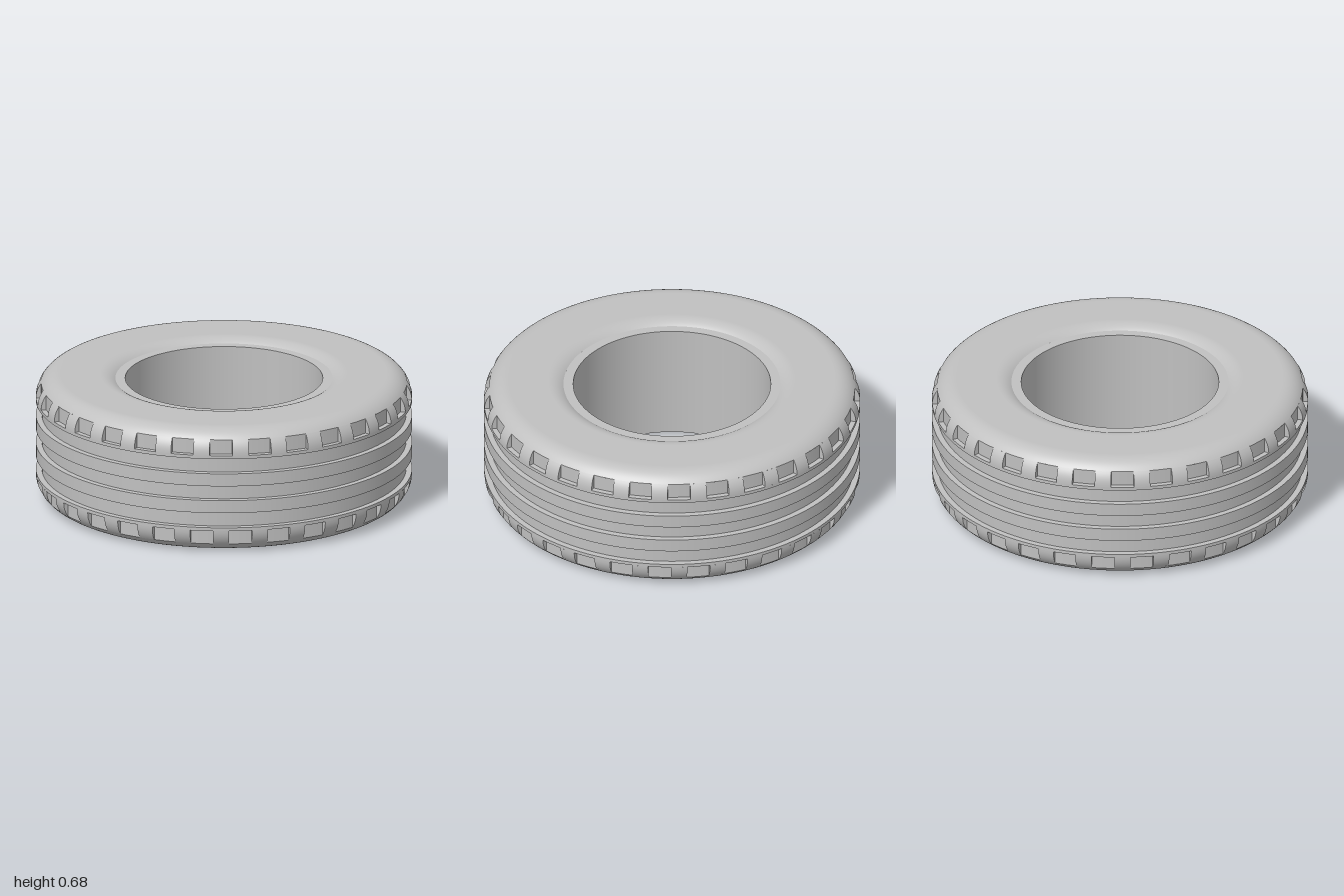
import * as THREE from 'three';
import { mergeGeometries } from 'three/addons/utils/BufferGeometryUtils.js';

const HALF = 0.341;        // half the tyre width
const R = 0.13;            // rounding of shoulder and bead lip
const ARC_Y = HALF - R;    // height where the shoulder starts to round
const GROOVE_R = 0.968, NOTCH_R = 0.972;
const BORE_R = 0.525, BEAD_R = 0.577, BEAD_Y = 0.315;
const NOTCHES = 30, PITCH = Math.PI * 2 / NOTCHES, NOTCH_ANGLE = THREE.MathUtils.degToRad(7);

const v = (x, y) => new THREE.Vector2(x, y);

// Points on a circular arc in the (radius, height) plane
function arc(cx, cy, a0, a1, n) {
  return Array.from({ length: n + 1 }, (_, i) => {
    const a = a0 + (a1 - a0) * i / n;
    return v(cx + R * Math.cos(a), cy + R * Math.sin(a));
  });
}

// Revolve each strip on its own, so the edges between strips stay sharp
function revolve(strips, segments = 180, start = 0, length = Math.PI * 2) {
  return strips.map(s => new THREE.LatheGeometry(s, segments, start, length));
}

const sharp = pts => pts.slice(1).map((p, i) => [pts[i], p]);

export function createModel() {
  const rubber = new THREE.MeshStandardMaterial({ color: 0xc0c0c0, side: THREE.DoubleSide });
  rubber.name = 'grey rubber';
  const tyre = new THREE.Group();
  tyre.name = 'tyre';
  const add = (parent, name, geometries) => {
    const mesh = new THREE.Mesh(mergeGeometries(geometries), rubber);
    mesh.name = name;
    parent.add(mesh);
  };

  // Tread: two ribs between three grooves
  const g = GROOVE_R;
  add(tyre, 'tread', revolve(sharp([
    v(1, -0.1925), v(g, -0.1925), v(g, -0.11), v(1, -0.11), v(1, -0.04), v(g, -0.04),
    v(g, 0.04), v(1, 0.04), v(1, 0.11), v(g, 0.11), v(g, 0.1925), v(1, 0.1925),
  ])));

  // Bore through the middle
  add(tyre, 'bore', revolve([[v(BORE_R, BEAD_Y), v(BORE_R, -BEAD_Y)]]));

  // Shoulder arc is split where the notch wall breaks out of it
  const cx = 1 - R;
  const split = Math.acos((NOTCH_R - cx) / R);
  const lowerArc = arc(cx, ARC_Y, 0, split, 8);
  const upperArc = arc(cx, ARC_Y, split, Math.PI / 2, 10);
  const breakout = lowerArc[lowerArc.length - 1];

  // Lip curving down to the flat bead ring
  const lipEnd = Math.PI - Math.asin((BEAD_Y - ARC_Y) / R);
  const lipX = BEAD_R - R * Math.cos(lipEnd);
  const lip = arc(lipX, ARC_Y, Math.PI / 2, lipEnd, 10);

  function makeSide(name) {
    const side = new THREE.Group();
    side.name = name;
    add(side, 'sidewall', revolve([
      [v(1, 0.1925), v(1, ARC_Y)],
      upperArc,
      [v(cx, HALF), v(lipX, HALF)],
      lip,
    ]));
    add(side, 'beadRing', revolve([[v(BEAD_R, BEAD_Y), v(BORE_R, BEAD_Y)]]));

    // Alternating shoulder blocks and notches
    const cheek = new THREE.Shape([v(NOTCH_R, ARC_Y), ...lowerArc]);
    const blocks = [], notches = [];
    for (let i = 0; i < NOTCHES; i++) {
      const start = (i + 0.5) * PITCH - NOTCH_ANGLE / 2;
      const end = start + NOTCH_ANGLE;
      blocks.push(...revolve([lowerArc], 3, end, PITCH - NOTCH_ANGLE));
      notches.push(...revolve(sharp([v(1, ARC_Y), v(NOTCH_R, ARC_Y), breakout]), 4, start, NOTCH_ANGLE));
      for (const a of [start, end]) {
        notches.push(new THREE.ShapeGeometry(cheek).rotateY(a - Math.PI / 2));
      }
    }
    add(side, 'shoulderBlocks', blocks);
    add(side, 'shoulderNotches', notches);
    tyre.add(side);
    return side;
  }

  makeSide('upperSide');
  // The lower side is turned over and staggered by half a notch
  makeSide('lowerSide').rotation.set(Math.PI, PITCH / 2, 0);

  tyre.position.y = HALF;
  const model = new THREE.Group();
  model.name = 'model';
  model.add(tyre);
  return model;
}
